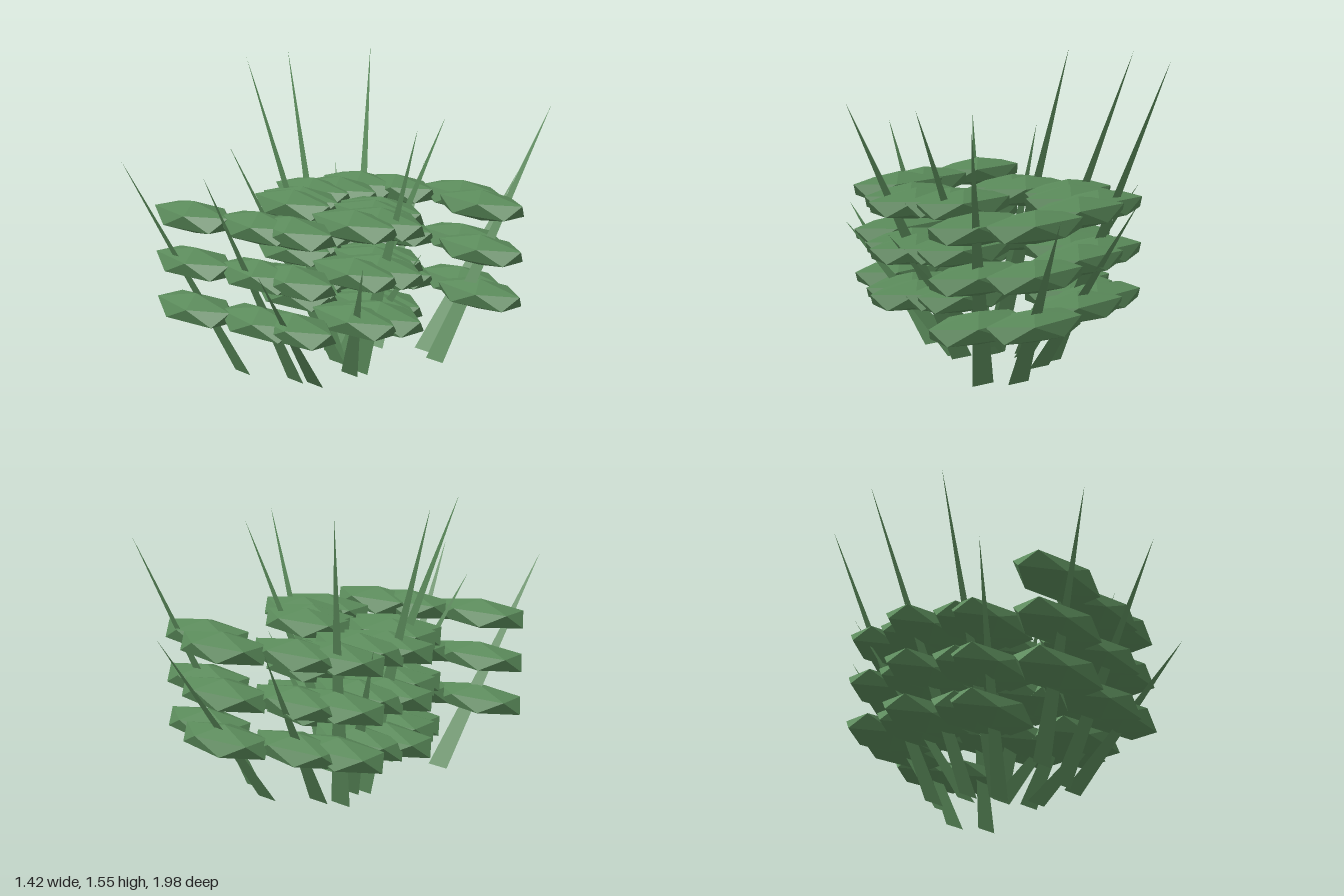
import * as THREE from 'three';
import { ConvexGeometry } from 'three/addons/geometries/ConvexGeometry.js';

// Plan position (x, z) of each plant and the height of its blade
const PLANTS = [
  [0.193, -0.662, 0.92], [0.425, -0.548, 1.335], [-0.163, -0.52, 0.92],
  [-0.345, -0.437, 1.55], [-0.313, -0.25, 0.92], [-0.39, -0.129, 1.555],
  [-0.259, 0.065, 1.55], [-0.23, 0.149, 1.125], [0.197, -0.06, 1.335],
  [0.228, 0.015, 0.705], [0.368, 0.11, 1.335], [0.32, 0.241, 0.705],
  [0.222, 0.547, 0.705], [0.038, 0.595, 1.125], [-0.361, 0.683, 1.125],
];
const LAYERS = [0.357, 0.592, 0.827];
const BLADE_HALF_WIDTH = 0.06;

// Flattened twenty-sided clump: two staggered rings of five plus two poles
function clumpGeometry() {
  const points = [new THREE.Vector3(0, 0.08, 0), new THREE.Vector3(0, -0.08, 0)];
  for (let i = 0; i < 10; i++) {
    const a = (i * Math.PI) / 5;
    points.push(new THREE.Vector3(0.27 * Math.cos(a), i % 2 ? -0.036 : 0.036, 0.131 * Math.sin(a)));
  }
  return new ConvexGeometry(points);
}

// Flat tapering blade that leans outward from the middle
function bladeGeometry(x, z, height) {
  const r = Math.hypot(x, z);
  const inner = (r - 0.23) / r, outer = (r + 0.345) / r;
  const geometry = new THREE.BufferGeometry();
  geometry.setAttribute('position', new THREE.Float32BufferAttribute([
    x * inner - BLADE_HALF_WIDTH, 0, z * inner,
    x * inner + BLADE_HALF_WIDTH, 0, z * inner,
    x * outer, height, z * outer,
  ], 3));
  geometry.computeVertexNormals();
  return geometry;
}

export function createModel() {
  const model = new THREE.Group();
  model.name = 'layeredFoliage';
  const leafMaterial = new THREE.MeshStandardMaterial({ color: 0x5a8a5a, flatShading: true });
  const bladeMaterial = leafMaterial.clone();
  bladeMaterial.side = THREE.DoubleSide;
  const clump = clumpGeometry();

  PLANTS.forEach(([x, z, height], i) => {
    const plant = new THREE.Group();
    plant.name = `plant${i + 1}`;
    // Stacked leaf clumps
    LAYERS.forEach((y) => {
      const mesh = new THREE.Mesh(clump, leafMaterial);
      mesh.name = 'leafClump';
      mesh.position.set(x, y, z);
      plant.add(mesh);
    });
    // Leaning blade
    const blade = new THREE.Mesh(bladeGeometry(x, z, height), bladeMaterial);
    blade.name = 'blade';
    plant.add(blade);
    model.add(plant);
  });
  return model;
}
